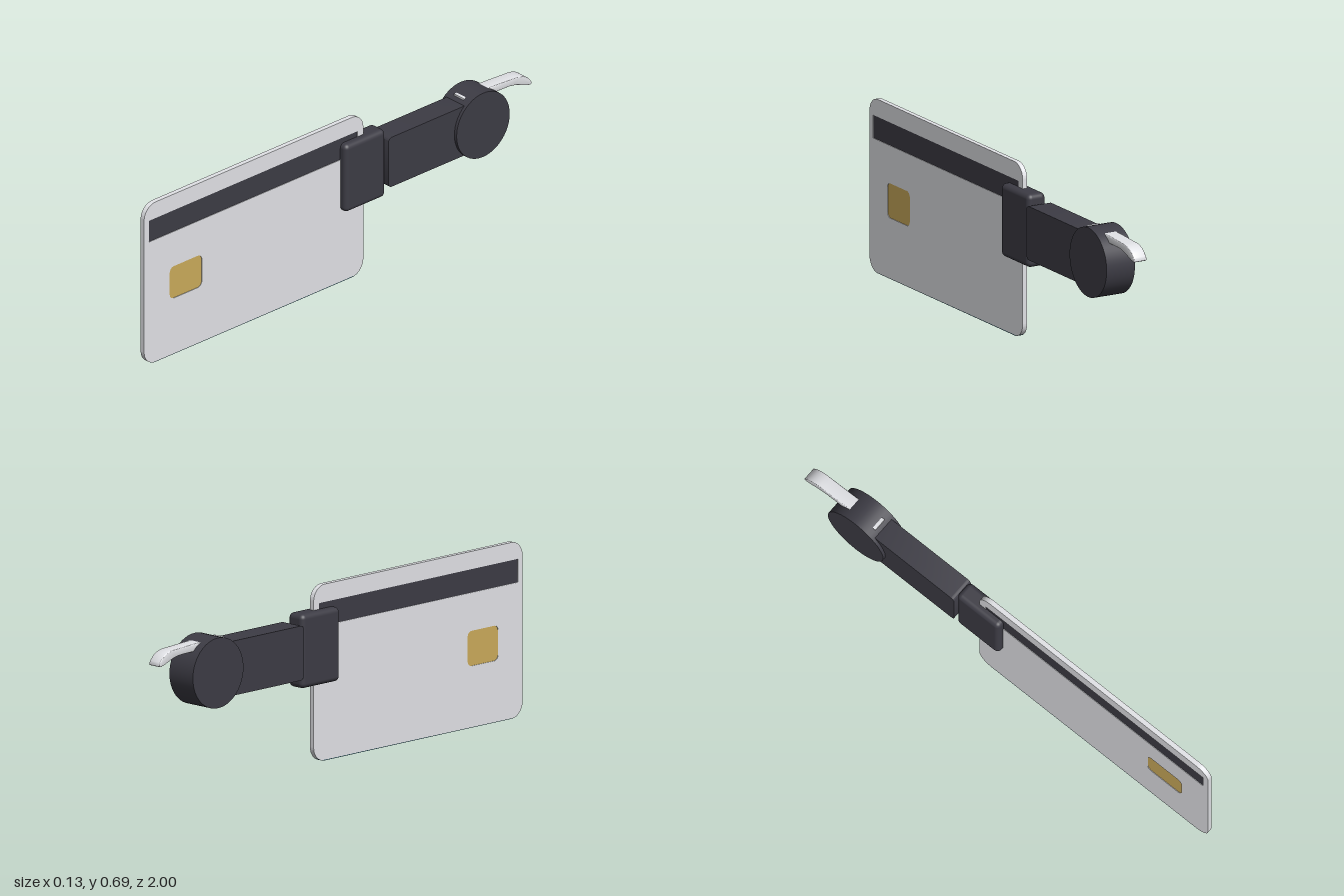
import * as THREE from 'three';
import { toCreasedNormals } from 'three/addons/utils/BufferGeometryUtils.js';
import { RoundedBoxGeometry } from 'three/addons/geometries/RoundedBoxGeometry.js';

const material = (name, color) => {
  const m = new THREE.MeshStandardMaterial({ color });
  m.name = name;
  return m;
};

// Rounded rectangle in the side plane: z runs along the shape's x axis
function roundedRect(z0, z1, y0, y1, r, Type = THREE.Shape) {
  const s = new Type();
  s.moveTo(z0 + r, y0);
  s.lineTo(z1 - r, y0);
  s.absarc(z1 - r, y0 + r, r, -Math.PI / 2, 0, false);
  s.lineTo(z1, y1 - r);
  s.absarc(z1 - r, y1 - r, r, 0, Math.PI / 2, false);
  s.lineTo(z0 + r, y1);
  s.absarc(z0 + r, y1 - r, r, Math.PI / 2, Math.PI, false);
  s.lineTo(z0, y0 + r);
  s.absarc(z0 + r, y0 + r, r, Math.PI, Math.PI * 1.5, false);
  return s;
}

// Extrude a side-plane shape across x, centred on x = 0
function sideExtrude(shape, width, bevel = 0) {
  const depth = width - 2 * bevel;
  const g = new THREE.ExtrudeGeometry(shape, {
    depth, curveSegments: 10, bevelEnabled: bevel > 0,
    bevelSize: bevel, bevelThickness: bevel, bevelOffset: -bevel, bevelSegments: 3,
  });
  g.translate(0, 0, -depth / 2);
  g.rotateY(-Math.PI / 2);
  return toCreasedNormals(g, 0.6);
}

export function createModel() {
  const white = material('cardWhite', 0xe2e3e7);
  const dark = material('darkPlastic', 0x3d3c45);
  const gold = material('chipGold', 0xcbab5b);
  const teal = material('edgeTeal', 0x35697a);

  const model = new THREE.Group();
  model.name = 'cardWithClip';
  const add = (name, geometry, mat) => {
    const mesh = new THREE.Mesh(geometry, mat);
    mesh.name = name;
    model.add(mesh);
    return mesh;
  };

  // Card with openings for the stripe and the chip
  const stripe = [-0.11, 0.975, 0.53, 0.622, 0.003];
  const chip = [0.7, 0.867, 0.242, 0.38, 0.022];
  const outline = roundedRect(-0.14, 1, 0, 0.692, 0.06);
  outline.holes.push(roundedRect(...stripe, THREE.Path), roundedRect(...chip, THREE.Path));
  const card = sideExtrude(outline, 0.02);

  // Bottom edge gets its own colour
  const p = card.attributes.position;
  card.clearGroups();
  for (let i = 0; i < p.count; i += 3) {
    const low = Math.max(p.getY(i), p.getY(i + 1), p.getY(i + 2)) < 0.012;
    card.addGroup(i, 3, low ? 1 : 0);
  }
  add('card', card, [white, teal]);

  // Slightly recessed inlays, visible on both faces
  add('magneticStripe', sideExtrude(roundedRect(...stripe), 0.016), dark);
  add('chip', sideExtrude(roundedRect(...chip), 0.016), gold);

  // Clamp gripping the card
  const clamp = add('clamp', new RoundedBoxGeometry(0.08, 0.291, 0.21, 4, 0.02), dark);
  clamp.position.set(0, 0.4525, -0.127);

  // Arm and round hinge
  add('arm', sideExtrude(roundedRect(-0.72, -0.234, 0.347, 0.561, 0.018), 0.1), dark);
  const drum = new THREE.CylinderGeometry(0.138, 0.138, 0.126, 48);
  drum.rotateZ(Math.PI / 2);
  add('hinge', drum, dark).position.set(0, 0.453, -0.715);

  // Curved lever, reaching through the top of the hinge
  const lever = new THREE.Shape();
  lever.moveTo(-0.645, 0.579);
  lever.lineTo(-0.645, 0.55);
  lever.lineTo(-0.87, 0.546);
  lever.bezierCurveTo(-0.93, 0.544, -0.945, 0.525, -0.985, 0.516);
  lever.quadraticCurveTo(-1.003, 0.511, -0.999, 0.526);
  lever.bezierCurveTo(-0.985, 0.548, -0.965, 0.572, -0.91, 0.571);
  lever.lineTo(-0.8, 0.577);
  lever.closePath();
  add('lever', sideExtrude(lever, 0.056, 0.003), white);

  return model;
}
